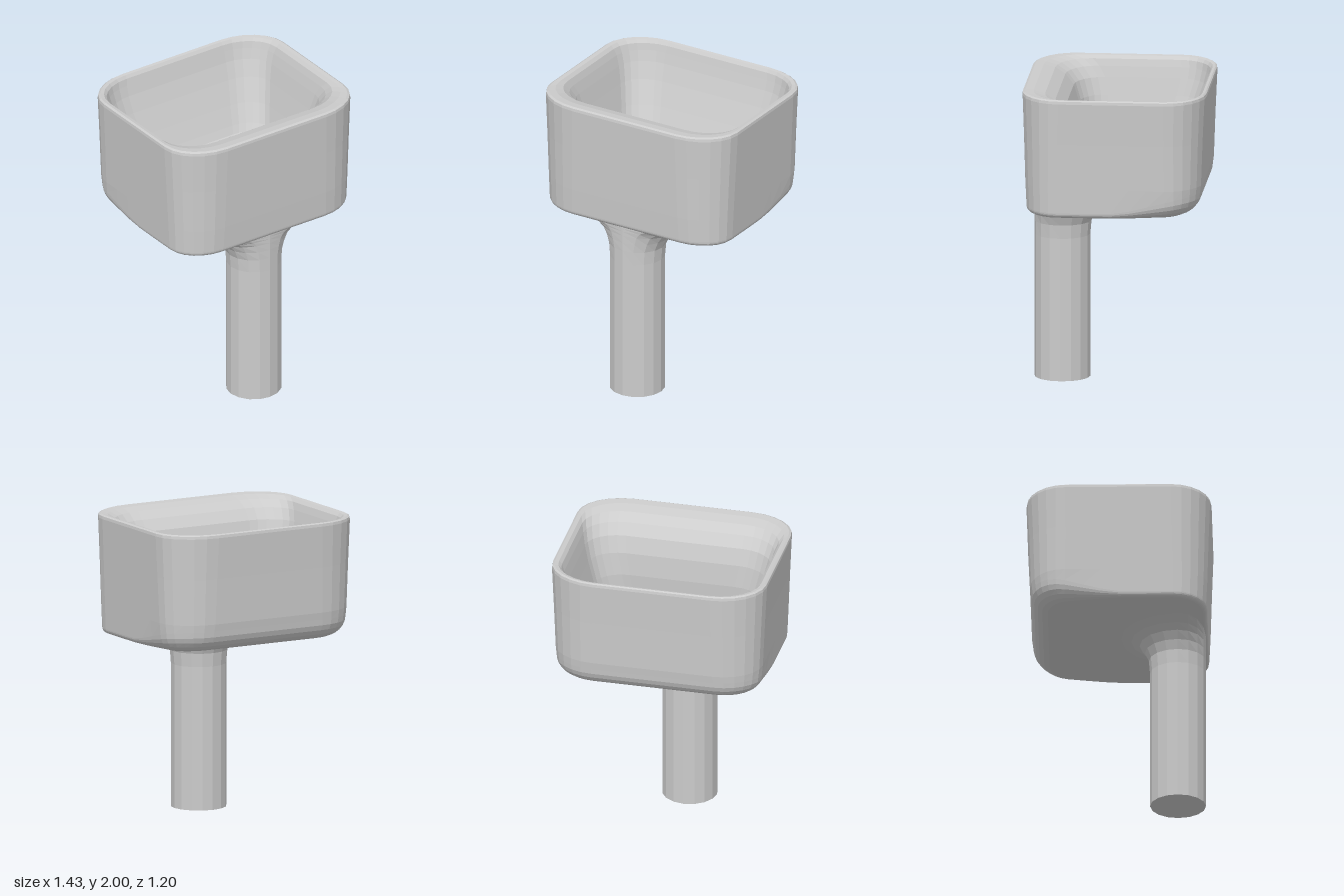
import * as THREE from 'three';

const material = new THREE.MeshStandardMaterial({ color: 0xcccccc, flatShading: true });

// Rounded rectangle seen from above, counter-clockwise, with outward normals;
// the corners are a little longer in x than in z
function outline(hx, zBack, zFront, rz) {
  const rx = rz * 1.25;
  const corners = [[hx - rx, zBack + rz], [-hx + rx, zBack + rz], [-hx + rx, zFront - rz], [hx - rx, zFront - rz]];
  const arcSteps = 6, sideSteps = 6, pts = [];
  corners.forEach(([cx, cz], c) => {
    for (let i = 0; i <= arcSteps; i++) {
      const a = (c + i / arcSteps) * Math.PI / 2;
      const nx = Math.cos(a), nz = -Math.sin(a);
      pts.push({ x: cx + rx * nx, z: cz + rz * nz, nx, nz });
    }
    const from = pts[pts.length - 1];
    const [ex, ez] = corners[(c + 1) % 4];
    const to = { x: ex + rx * from.nx, z: ez + rz * from.nz };
    for (let i = 1; i < sideSteps; i++) {
      const t = i / sideSteps;
      pts.push({ x: from.x + (to.x - from.x) * t, z: from.z + (to.z - from.z) * t, nx: from.nx, nz: from.nz });
    }
  });
  return pts;
}

const flatRing = (y, ...shape) => outline(...shape).map(p => [p.x, y, p.z]);

const shrink = (ring, s, y, cz) => ring.map(([x, , z]) => [x * s, y, cz + (z - cz) * s]);

// Skin a list of equal-length rings
function loft(rings) {
  const n = rings[0].length, index = [];
  for (let i = 0; i < rings.length - 1; i++) {
    for (let j = 0; j < n; j++) {
      const k = (j + 1) % n, a = i * n + j, b = i * n + k;
      index.push(a, b, b + n, a, b + n, a + n);
    }
  }
  const geo = new THREE.BufferGeometry();
  geo.setAttribute('position', new THREE.Float32BufferAttribute(rings.flat(2), 3));
  geo.setIndex(index);
  geo.computeVertexNormals();
  return geo;
}

function basinGeometry() {
  const rings = [];
  // Lower edge: tight rounding at the front growing to a wide one at the back
  const base = outline(0.683, -0.571, 0.575, 0.22);
  for (let i = 0; i <= 6; i++) {
    const a = i / 6 * Math.PI / 2;
    rings.push(base.map(p => {
      const r = 0.035 + 0.11 * THREE.MathUtils.smoothstep(-p.z, -0.05, 0.55);
      const inset = r * (1 - Math.sin(a));
      return [p.x - p.nx * inset, 1.206 + r * (1 - Math.cos(a)), p.z - p.nz * inset];
    }));
  }
  // Underside closes to its middle
  rings.unshift(shrink(rings[0], 0, 1.195, 0), shrink(rings[0], 0.6, 1.2, 0));
  // Outer wall, rim, inner wall: y, half width, back z, front z, corner radius
  [
    [1.4, 0.69, -0.578, 0.583, 0.23],
    [1.7, 0.703, -0.589, 0.592, 0.245],
    [1.975, 0.716, -0.602, 0.602, 0.26],
    [1.993, 0.713, -0.599, 0.599, 0.258],
    [2.0, 0.7, -0.59, 0.585, 0.25],
    [1.995, 0.675, -0.572, 0.53, 0.235],
    [1.975, 0.655, -0.558, 0.455, 0.22],
    [1.93, 0.638, -0.546, 0.39, 0.2],
    [1.86, 0.618, -0.527, 0.335, 0.185],
    [1.75, 0.59, -0.487, 0.3, 0.17],
    [1.6, 0.55, -0.425, 0.285, 0.16],
    [1.48, 0.515, -0.37, 0.29, 0.15],
    [1.43, 0.49, -0.345, 0.275, 0.14],
  ].forEach(r => rings.push(flatRing(...r)));
  // Dished floor
  const floor = rings[rings.length - 1];
  rings.push(shrink(floor, 0.75, 1.36, -0.03), shrink(floor, 0, 1.29, -0.03));
  return loft(rings);
}

function stemGeometry() {
  const radius = 0.182;
  const profile = [
    [0, 0], [radius, 0], [radius, 0.95], [0.19, 1.04], [0.215, 1.1],
    [0.25, 1.15], [0.305, 1.18], [0.39, 1.2], [0.46, 1.215],
  ].map(p => new THREE.Vector2(...p));
  const geo = new THREE.LatheGeometry(profile, 16);
  // The flare spreads to the sides and back only; its front runs straight up
  const pos = geo.attributes.position;
  for (let i = 0; i < pos.count; i++) {
    const z = pos.getZ(i), r = Math.hypot(pos.getX(i), z);
    if (z > 0 && r > radius) pos.setZ(i, z * radius / r);
  }
  geo.translate(-0.03, 0, 0.378);
  geo.computeVertexNormals();
  return geo;
}

export function createModel() {
  const group = new THREE.Group();
  group.name = 'basinOnStem';
  const parts = { basin: basinGeometry(), stem: stemGeometry() };
  for (const [name, geo] of Object.entries(parts)) {
    const mesh = new THREE.Mesh(geo, material);
    mesh.name = name;
    group.add(mesh);
  }
  return group;
}
